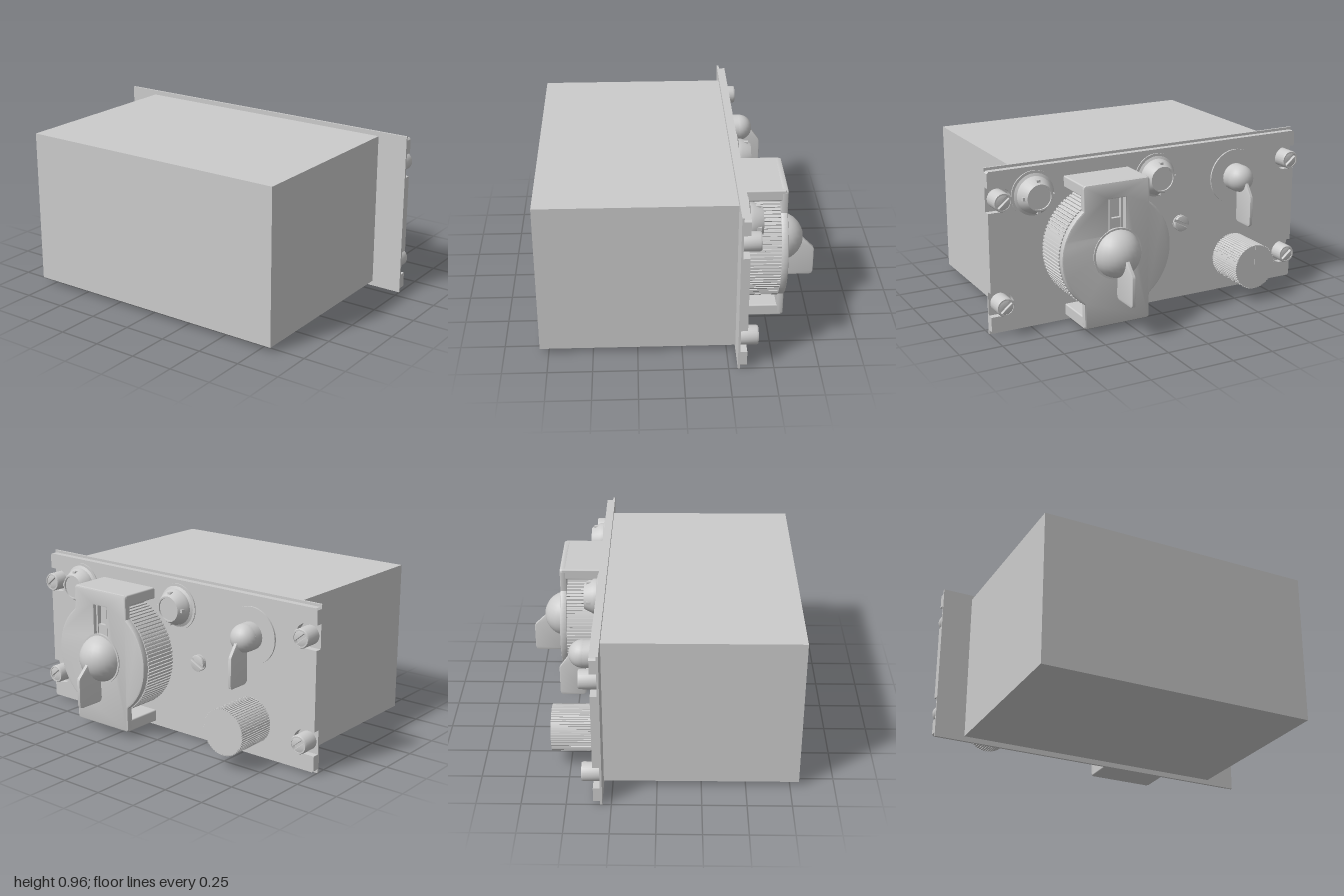
import * as THREE from 'three';
import { toCreasedNormals } from 'three/addons/utils/BufferGeometryUtils.js';
import { RoundedBoxGeometry } from 'three/addons/geometries/RoundedBoxGeometry.js';

const material = new THREE.MeshStandardMaterial({ color: 0xcccccc });
const FACE = 0.35; // height of the panel face along the panel's own z

export function createModel() {
  const model = new THREE.Group();
  // Work with the panel facing +z, then turn it to face +x.
  const unit = new THREE.Group();
  unit.name = 'controlUnit';
  unit.rotation.y = Math.PI / 2;
  model.add(unit);

  const add = (name, geometry, x = 0, y = 0, z = 0, parent = unit) => {
    const mesh = new THREE.Mesh(geometry, material);
    mesh.name = name;
    mesh.position.set(x, y, z);
    parent.add(mesh);
    return mesh;
  };
  const group = (name, x, y) => {
    const g = new THREE.Group();
    g.name = name;
    g.position.set(x, y, 0);
    unit.add(g);
    return g;
  };
  const box = (w, h, d) => new THREE.BoxGeometry(w, h, d);
  // Extrusion between two z levels, edges optionally rounded inward
  const slab = (shape, z0, z1, bevel = 0, curveSegments = 16) => {
    const g = new THREE.ExtrudeGeometry(shape, {
      depth: z1 - z0 - 2 * bevel, curveSegments, bevelEnabled: bevel > 0,
      bevelThickness: bevel, bevelSize: bevel, bevelOffset: -bevel, bevelSegments: 2,
    });
    g.translate(0, 0, z0 + bevel);
    return toCreasedNormals(g, 0.6);
  };
  // Turned part from [radius, z] pairs
  const turned = (points, segments = 32) => {
    const g = new THREE.LatheGeometry(points.map(([r, z]) => new THREE.Vector2(r, z)), segments);
    return toCreasedNormals(g.rotateX(Math.PI / 2), 0.5);
  };
  const disc = (r, z0, z1, segments = 48) =>
    turned([[0, z0], [r, z0], [r, z1], [0, z1]], segments);
  // Knurled outline
  const knurl = (r, teeth, depth) => {
    const points = [];
    for (let i = 0; i < teeth; i++) {
      for (const [f, rr] of [[0, r], [0.5, r], [0.6, r - depth], [0.9, r - depth]]) {
        const a = ((i + f) / teeth) * Math.PI * 2;
        points.push(new THREE.Vector2(Math.cos(a) * rr, Math.sin(a) * rr));
      }
    }
    return new THREE.Shape(points);
  };
  // Screw head with a straight slot
  const slottedScrew = (name, x, y, r, z0, z1, slot, angle) => {
    const g = group(name, x, y);
    g.rotation.z = angle;
    add('screwBody', disc(r, z0, z1 - 0.02, 24), 0, 0, 0, g);
    const a = Math.asin(slot / r);
    for (const turn of [0, Math.PI]) {
      const half = new THREE.Shape().absarc(0, 0, r, a, Math.PI - a, false);
      add('screwHeadHalf', slab(half, z1 - 0.02, z1, 0.003), 0, 0, 0, g).rotation.z = turn;
    }
    return g;
  };

  // Housing and mounting flange
  add('housing', box(1.64, 0.9, 1.1), 0, 0.48, -0.25);
  add('flange', box(2, 0.957, 0.012), 0, 0.4785, 0.306);

  // Front panel with open notches around the corner screws
  const rows = [0.18, 0.78], sx = 0.935, nr = 0.07, q = Math.PI / 2;
  const panel = new THREE.Shape().moveTo(-0.99, 0.015).lineTo(0.99, 0.015).lineTo(1, 0.025);
  for (const y of rows) {
    panel.lineTo(1, y - nr).lineTo(sx, y - nr).absarc(sx, y, nr, -q, q, true).lineTo(1, y + nr);
  }
  panel.lineTo(1, 0.932).lineTo(0.99, 0.942).lineTo(-0.99, 0.942).lineTo(-1, 0.932);
  for (const y of [...rows].reverse()) {
    panel.lineTo(-1, y + nr).lineTo(-sx, y + nr).absarc(-sx, y, nr, q, -q, true).lineTo(-1, y - nr);
  }
  panel.lineTo(-1, 0.025);
  add('frontPanel', slab(panel, 0.312, FACE));

  // Corner screws with collars
  for (const side of [-1, 1]) {
    for (const y of rows) {
      const screw = slottedScrew('cornerScrew', side * sx, y, 0.044, 0.312, 0.408, 0.009, 0.7);
      add('collar', turned([[0.044, 0.312], [0.054, 0.312], [0.054, 0.404], [0.05, 0.412],
        [0.042, 0.412], [0.042, 0.38]], 24), 0, 0, 0, screw);
    }
  }

  // Indicator lamps
  for (const x of [-0.73, 0.035]) {
    const lamp = group('indicatorLamp', x, 0.785);
    add('washer', disc(0.135, FACE - 0.005, 0.357), 0, 0, 0, lamp);
    add('bezel', turned([[0.12, 0.357], [0.105, 0.365], [0.103, 0.385], [0.075, 0.438],
      [0.066, 0.438], [0.066, 0.428], [0, 0.428]]), 0, 0, 0, lamp);
    for (let i = 0; i < 4; i++) {
      const a = i * q;
      const pin = add('gripPin', box(0.02, 0.02, 0.03), Math.cos(a) * 0.086, Math.sin(a) * 0.086, 0.408, lamp);
      pin.rotation.z = a;
    }
  }

  // Large selector dial
  const dial = group('selectorDial', -0.345, 0.455);
  add('knurledDrum', slab(knurl(0.34, 100, 0.007), FACE - 0.005, 0.558), 0, 0, 0, dial);

  // Bridge over the dial, its face pierced by a reading window
  const R = 0.336, w = 0.203, a = Math.acos(w / R);
  const face = new THREE.Shape().moveTo(-w + 0.02, -0.415).lineTo(w - 0.02, -0.415)
    .quadraticCurveTo(w, -0.415, w, -0.395)
    .absarc(0, 0, R, -a, a, false)
    .lineTo(w, 0.39).quadraticCurveTo(w, 0.41, w - 0.02, 0.41)
    .lineTo(-w + 0.02, 0.41).quadraticCurveTo(-w, 0.41, -w, 0.39)
    .absarc(0, 0, R, Math.PI - a, Math.PI + a, false)
    .lineTo(-w, -0.395).quadraticCurveTo(-w, -0.415, -w + 0.02, -0.415);
  face.holes.push(new THREE.Path().moveTo(-0.052, 0.12).lineTo(-0.052, 0.315)
    .lineTo(0.052, 0.315).lineTo(0.052, 0.12).closePath());
  add('bridgeFace', slab(face, 0.558, 0.598, 0.008, 40), 0, 0, 0, dial);
  add('bridgeArmTop', new RoundedBoxGeometry(2 * w, 0.066, 0.243, 2, 0.008), 0, 0.377, 0.4665, dial);
  add('bridgeArmBottom', new RoundedBoxGeometry(2 * w, 0.07, 0.243, 2, 0.008), 0, -0.38, 0.4665, dial);
  for (const s of [-1, 1]) add('windowRail', box(0.012, 0.19, 0.03), s * 0.036, 0.22, 0.57, dial);
  add('windowStep', box(0.06, 0.07, 0.025), 0, 0.165, 0.567, dial);

  // Ball knob with a thin paddle; the paddle outline is in [height, depth]
  const paddle = (name, outline, thickness, parent) => {
    // Shape x runs along the panel normal, shape y runs up
    const g = slab(new THREE.Shape(outline.map(([y, z]) => new THREE.Vector2(z, y))),
      -thickness / 2, thickness / 2, 0.004);
    add(name, g.rotateY(-q), 0, 0, 0, parent);
  };
  add('knobSeat', disc(0.148, 0.59, 0.604), 0, 0, 0, dial);
  add('ballKnob', new THREE.SphereGeometry(0.14, 24, 16), 0, 0, 0.58, dial);
  paddle('knobPaddle', [[-0.01, 0.62], [-0.235, 0.61], [-0.252, 0.617], [-0.26, 0.633], [-0.26, 0.768],
    [-0.254, 0.784], [-0.238, 0.79], [-0.09, 0.79], [-0.075, 0.784], [-0.01, 0.718]], 0.022, dial);

  // Mode switch: dial plate, domed knob and paddle
  const mode = group('modeSwitch', 0.57, 0.715);
  add('dialPlate', disc(0.164, FACE - 0.005, 0.36), 0, 0, 0, mode);
  add('knobBase', disc(0.08, 0.355, 0.415, 24), 0, 0, 0, mode);
  add('domeKnob', new THREE.SphereGeometry(0.08, 24, 16), 0, 0, 0.415, mode);
  paddle('modePaddle', [[0, 0.40], [-0.25, 0.40], [-0.262, 0.412], [-0.265, 0.425], [-0.265, 0.53],
    [-0.258, 0.542], [-0.245, 0.546], [-0.09, 0.546], [-0.078, 0.54], [0, 0.485]], 0.02, mode);

  // Knurled volume knob with index line
  const volume = group('volumeKnob', 0.57, 0.22);
  add('knurledKnob', slab(knurl(0.135, 60, 0.004), FACE - 0.005, 0.602), 0, 0, 0, volume);
  add('indexLine', box(0.006, 0.12, 0.004), 0, 0.065, 0.602, volume);

  // Small slotted adjuster
  slottedScrew('adjusterScrew', 0.2, 0.48, 0.047, FACE - 0.01, 0.38, 0.008, -0.5);

  return model;
}
